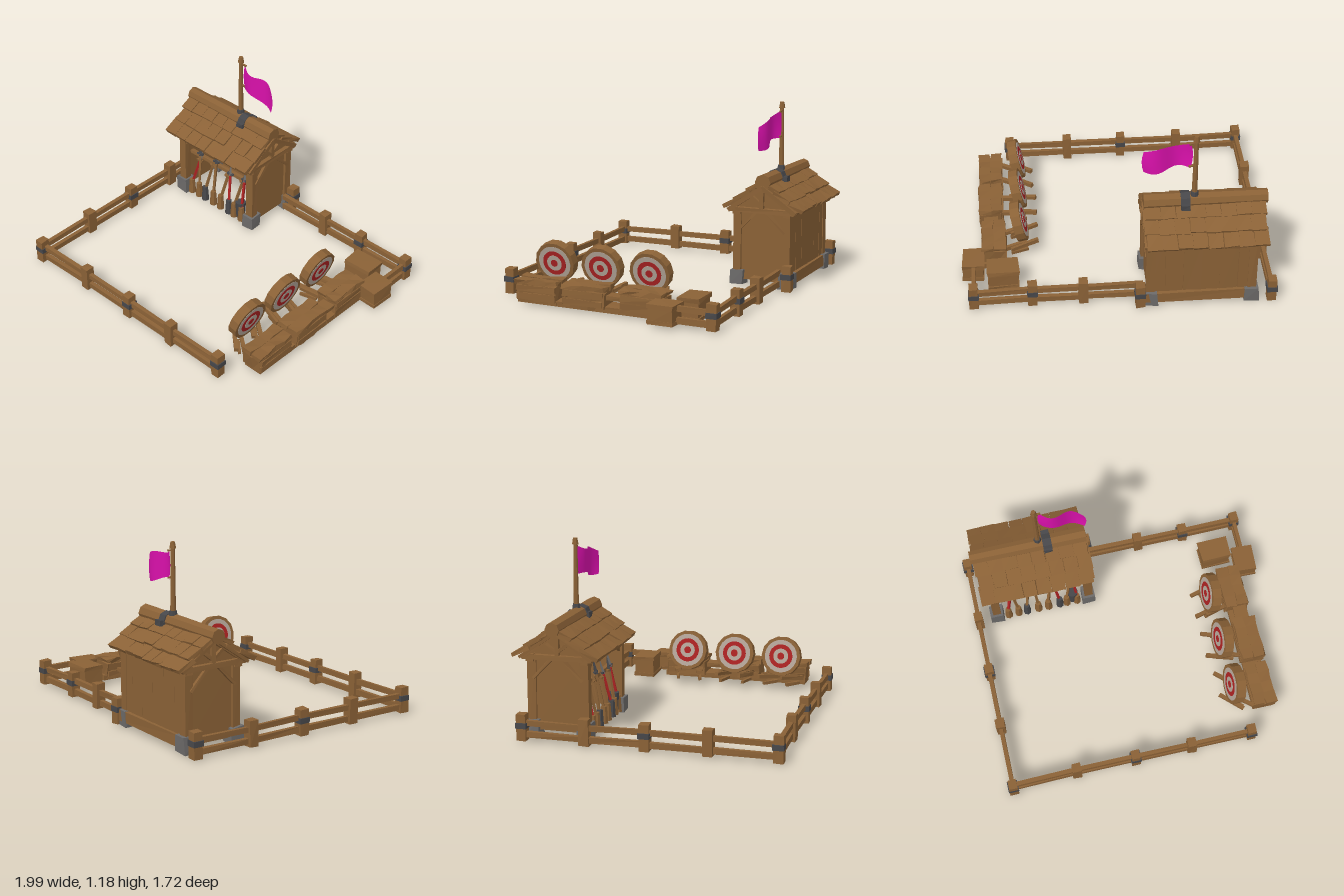
import * as THREE from 'three';

const mat = (name, color, extra = {}) => {
  const m = new THREE.MeshStandardMaterial({ color, flatShading: true, ...extra });
  m.name = name;
  return m;
};

export function createModel() {
  const wood = mat('wood', 0x8a6136);
  const iron = mat('iron', 0x47474a);
  const stone = mat('stone', 0x6c6a69);
  const red = mat('red', 0xaa2222);
  const pale = mat('pale paint', 0xb4a598);
  const cloth = mat('flag cloth', 0xd810aa, { side: THREE.DoubleSide, flatShading: false });

  let seed = 7;
  const rnd = () => ((seed = (seed * 16807) % 2147483647) / 2147483647) * 2 - 1;
  const model = new THREE.Group();
  const group = (name, parent = model) => {
    const g = new THREE.Group();
    g.name = name;
    parent.add(g);
    return g;
  };
  const add = (parent, name, geo, m, x = 0, y = 0, z = 0) => {
    const mesh = new THREE.Mesh(geo, m);
    mesh.name = name;
    mesh.position.set(x, y, z);
    parent.add(mesh);
    return mesh;
  };
  // Rough-hewn box: shared corners are nudged together
  const rough = (w, h, d, j = 0.004, sw = 1, sd = 1) => {
    const geo = new THREE.BoxGeometry(w, h, d, sw, 1, sd), p = geo.attributes.position, seen = {};
    for (let i = 0; i < p.count; i++) {
      const key = [p.getX(i), p.getY(i), p.getZ(i)].map(v => v.toFixed(4)).join();
      const o = (seen[key] ??= [rnd() * j, rnd() * j, rnd() * j]);
      p.setXYZ(i, p.getX(i) + o[0], p.getY(i) + o[1], p.getZ(i) + o[2]);
    }
    geo.computeVertexNormals();
    return geo;
  };
  const box = (parent, name, w, h, d, x, y, z, m = wood, j = 0.003) => add(parent, name, rough(w, h, d, j), m, x, y, z);
  // Squared timber between two points
  const beam = (parent, name, a, b, w, h = w, m = wood) => {
    const A = new THREE.Vector3(...a), B = new THREE.Vector3(...b);
    const mesh = add(parent, name, rough(w, h, A.distanceTo(B), 0.002), m);
    mesh.position.copy(A).add(B).multiplyScalar(0.5);
    mesh.lookAt(B);
    return mesh;
  };

  // Fence runs: posts joined by two rails
  const fence = group('fence');
  const post = (x, z, banded) => {
    box(fence, 'fencePost', 0.058, 0.165, 0.062, x, 0.088, z);
    if (banded) box(fence, 'postBand', 0.068, 0.035, 0.07, x, 0.1, z, iron, 0.001);
  };
  const rails = (a, b) => {
    for (const [y, h] of [[0.113, 0.035], [0.042, 0.038]])
      beam(fence, 'fenceRail', [a[0], y + rnd() * 0.003, a[1]], [b[0], y + rnd() * 0.003, b[1]], 0.026, h);
  };
  const runs = [
    [[-0.96, -0.78], [-0.96, -0.38], [-0.96, 0], [-0.96, 0.39], [-0.96, 0.815]],
    [[-0.96, 0.81], [-0.53, 0.8], [-0.13, 0.8], [0.25, 0.8], [0.66, 0.8]],
    [[-0.15, -0.71], [0.23, -0.71], [0.55, -0.71], [0.92, -0.715]],
    [[0.92, -0.71], [0.92, -0.4]],
  ];
  runs.forEach((run, r) => run.forEach((p, i) => {
    if (i) rails(run[i - 1], p);
    if (r === 0 || (r === 1 && i) || (r === 2 && i)) post(p[0], p[1], i % 2 === 0 || (r === 2 && i === 3));
  }));
  post(-0.125, -0.78, true);

  // Shed frame and walls
  const shed = group('shed');
  for (const x of [-0.83, -0.188]) {
    for (const z of [-0.415, -0.755]) {
      box(shed, 'cornerPost', 0.055, 0.5, 0.055, x, 0.27, z);
      box(shed, 'stoneFoot', 0.09, 0.1, 0.09, x, 0.055, z, stone, 0.006);
    }
    const out = x < -0.5 ? -1 : 1, fx = x + out * 0.024;
    box(shed, 'sideWall', 0.022, 0.46, 0.34, x, 0.27, -0.585, wood, 0.001);
    // Filled gable with truss
    const tri = new THREE.Shape([[-0.2, 0], [0.2, 0], [0, 0.17]].map(p => new THREE.Vector2(...p)));
    const gable = add(shed, 'gable', new THREE.ExtrudeGeometry(tri, { depth: 0.02, bevelEnabled: false }), wood, x - 0.01, 0.5, -0.585);
    gable.rotation.y = Math.PI / 2;
    beam(shed, 'tieBeam', [fx, 0.505, -0.36], [fx, 0.505, -0.81], 0.03, 0.032);
    beam(shed, 'kingPost', [fx, 0.5, -0.585], [fx, 0.67, -0.585], 0.025);
    for (const s of [-1, 1]) {
      beam(shed, 'rafter', [fx, 0.66, -0.585], [fx, 0.5, -0.585 + s * 0.23], 0.035, 0.03);
      beam(shed, 'trussStrut', [fx, 0.54, -0.585], [fx, 0.6, -0.585 + s * 0.075], 0.02);
      beam(shed, 'sideBrace', [fx, 0.37, -0.585 + s * 0.16], [fx, 0.495, -0.585 + s * 0.04], 0.02);
    }
    beam(shed, 'frontBrace', [x, 0.4, -0.41], [x - out * 0.1, 0.49, -0.41], 0.022);
  }
  for (let i = 0; i < 6; i++)
    box(shed, 'backPlank', 0.114, 0.47 + rnd() * 0.01, 0.024, -0.795 + i * 0.1145, 0.27, -0.765, wood, 0.002);
  box(shed, 'backSill', 0.7, 0.07, 0.03, -0.509, 0.07, -0.782);
  for (const z of [-0.41, -0.76]) box(shed, 'wallPlate', 0.72, 0.045, 0.05, -0.51, 0.5, z);
  box(shed, 'weaponRail', 0.63, 0.022, 0.025, -0.51, 0.31, -0.47);

  // Shingled roof, three overlapping rows on each slope
  const roof = group('roof');
  for (const s of [-1, 1]) {
    const slope = group('roofSlope', roof);
    slope.position.set(-0.53, 0.685, -0.588);
    slope.rotation.x = s * 0.61;
    box(slope, 'roofDeck', 0.73, 0.018, 0.29, 0, -0.015, s * 0.15, wood, 0.001);
    for (let r = 0; r < 3; r++) {
      const n = 8, w = 0.755 / n;
      for (let i = 0; i < n; i++) {
        const x = (i - (n - 1) / 2) * w + (r === 1 ? 0.008 : -0.003);
        const tile = box(slope, 'shingle', w - 0.003, 0.026, 0.125, x, 0.012 + rnd() * 0.003, s * (0.06 + r * 0.1 + rnd() * 0.004), wood, 0.004);
        tile.rotation.x = -s * 0.12;
      }
    }
  }
  const log = add(roof, 'ridgeLog', new THREE.CylinderGeometry(0.046, 0.054, 0.77, 8), wood, -0.538, 0.692, -0.592);
  log.rotation.z = Math.PI / 2;
  const clamp = add(roof, 'ridgeClamp', new THREE.CylinderGeometry(0.06, 0.06, 0.058, 8), iron, -0.41, 0.688, -0.592);
  clamp.rotation.z = Math.PI / 2;
  for (const s of [-1, 1]) box(roof, 'clampEnd', 0.055, 0.035, 0.04, -0.41, 0.685, -0.6 + s * 0.055, iron);

  // Flagpole and waving flag
  const flag = group('flag');
  add(flag, 'flagpole', new THREE.CylinderGeometry(0.013, 0.018, 0.45, 8), wood, -0.467, 0.945, -0.6);
  add(flag, 'poleCap', new THREE.CylinderGeometry(0.014, 0.021, 0.04, 7), wood, -0.467, 1.16, -0.6);
  add(flag, 'poleCollar', new THREE.CylinderGeometry(0.023, 0.027, 0.03, 8), iron, -0.467, 0.748, -0.6);
  for (const y of [1.12, 0.955]) beam(flag, 'flagTie', [-0.467, y + 0.01, -0.6], [-0.425, y, -0.605], 0.012);
  const sheet = new THREE.PlaneGeometry(1, 1, 12, 4), sp = sheet.attributes.position;
  for (let i = 0; i < sp.count; i++) {
    const u = sp.getX(i) + 0.5, v = sp.getY(i) + 0.5;
    const top = 1.125 - 0.07 * u + 0.012 * Math.sin(u * 7 + 3), low = 0.945 - 0.045 * u + 0.012 * Math.sin(u * 6);
    sp.setXYZ(i, -0.435 + 0.28 * u - 0.025 * Math.sin(v * Math.PI) * (u - 0.5) * -1,
      low + (top - low) * v, -0.605 + 0.045 * u + 0.024 * Math.sin(u * 6.3));
  }
  sheet.computeVertexNormals();
  add(flag, 'flagCloth', sheet, cloth);

  // Weapons leaning on the rail, each standing in a small pot
  const weapons = group('weapons');
  const arms = [[-0.75, 0.05, 0.36, red], [-0.68, -0.04, 0.44, iron], [-0.62, 0.04, 0.38, wood], [-0.54, -0.02, 0.45, iron],
    [-0.47, 0.04, 0.36, wood], [-0.39, -0.04, 0.4, red], [-0.34, 0.05, 0.38, iron], [-0.27, -0.02, 0.42, red]];
  arms.forEach(([x, lean, top, m], i) => {
    const a = [x, 0.1, -0.4], b = [x + lean, top, -0.465];
    const mid = [0, 1, 2].map(k => a[k] + (b[k] - a[k]) * 0.72);
    beam(weapons, 'weaponShaft', a, mid, 0.016, 0.016, m === red ? red : wood);
    const blade = add(weapons, 'weaponBlade', new THREE.ConeGeometry(0.014, (top - 0.1) * 0.36, 4), m === red ? stone : m, ...mid.map((v, k) => (v + b[k]) / 2));
    blade.rotation.set(-0.2, 0, -lean * 3);
    box(weapons, 'crossGuard', 0.05, 0.012, 0.016, mid[0], mid[1], mid[2], i % 2 ? iron : wood);
    add(weapons, 'weaponPot', new THREE.CylinderGeometry(0.019, 0.027, 0.11, 7), i % 3 === 2 ? iron : wood, x, 0.075, -0.4);
  });
  add(weapons, 'ironBucket', new THREE.CylinderGeometry(0.038, 0.03, 0.13, 9), iron, -0.295, 0.09, -0.42);

  // Tilted archery targets on trestles
  [0.49, 0.163, -0.172].forEach(z => {
    const target = group('target');
    target.position.set(0.615, 0, z);
    const disc = group('targetDisc', target);
    disc.position.y = 0.235;
    disc.rotation.z = Math.PI / 2 - 0.23;
    [[0.135, 0.06, wood], [0.112, 0.063, pale], [0.081, 0.066, red], [0.052, 0.069, pale], [0.024, 0.072, red]].forEach(([r, h, m], i) =>
      add(disc, i ? 'targetRing' : 'targetBody', new THREE.CylinderGeometry(r, r, h, i ? 20 : 14), m));
    for (const s of [-0.078, 0.078]) {
      beam(target, 'frontLeg', [-0.07, 0.01, s], [0.01, 0.18, s], 0.025);
      beam(target, 'backLeg', [0.075, 0.01, s], [0.0, 0.17, s], 0.025);
      beam(target, 'legTie', [-0.055, 0.045, s], [0.06, 0.045, s], 0.02);
    }
  });

  // Long base plank carrying rough timber bales
  const bales = group('bales');
  box(bales, 'basePlank', 0.13, 0.035, 1.0, 0.795, 0.03, 0.13);
  for (const [z, len, x] of [[0.5, 0.28, 0.795], [0.17, 0.28, 0.8], [-0.215, 0.27, 0.785]]) {
    add(bales, 'baleBody', rough(0.14, 0.11, len, 0.009, 2, 5), wood, x, 0.08, z);
    for (const s of [-1, 1]) {
      add(bales, 'baleSlab', rough(0.076, 0.03, len + 0.012, 0.007, 1, 4), wood, x + s * 0.039, 0.15, z);
      for (const y of [0.058, 0.11]) box(bales, 'baleSlat', 0.014, 0.042, len - 0.01, x + s * 0.073, y, z, wood, 0.005);
    }
  }
  box(bales, 'looseBoard', 0.09, 0.03, 0.14, 0.8, 0.1, -0.03);

  // Crates in the back corner
  for (const [x, z, w, d, h, turn] of [[0.73, -0.51, 0.19, 0.135, 0.14, 0.03], [0.92, -0.405, 0.13, 0.16, 0.125, -0.04]]) {
    const crate = group('crate');
    crate.position.set(x, 0.015, z);
    crate.rotation.y = turn;
    box(crate, 'crateBody', w, h - 0.02, d, 0, h / 2 - 0.01, 0, wood, 0.004);
    box(crate, 'crateLid', w + 0.012, 0.03, d + 0.012, 0, h - 0.015, 0, wood, 0.005);
    box(crate, 'crateBase', w + 0.01, 0.025, d + 0.01, 0, 0.013, 0, wood, 0.003);
  }
  return model;
}
